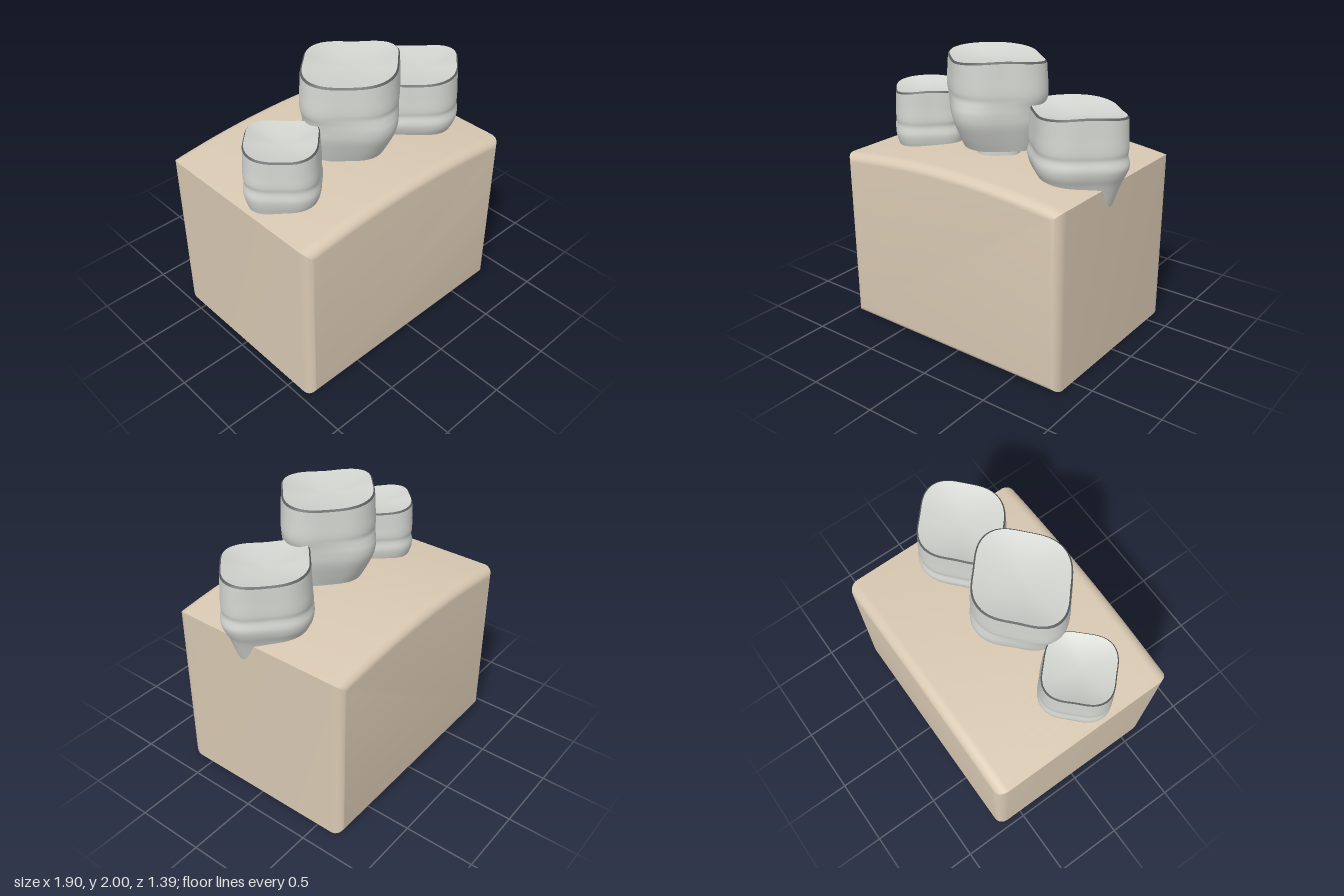
import * as THREE from 'three';
import { toCreasedNormals } from 'three/addons/utils/BufferGeometryUtils.js';

const blockMat = new THREE.MeshStandardMaterial({ name: 'beige plaster', color: 0xd8c8b2 });
const toothMat = new THREE.MeshStandardMaterial({ name: 'pale grey ceramic', color: 0xd2d4cf, side: THREE.DoubleSide });
const rimMat = new THREE.MeshStandardMaterial({ name: 'dark grey rim', color: 0x5c5f5e });

const SIDES = 72;

// Skins rows of rounded-diamond rings; row = { ax, az, height(angle) }
function loft(rows, cx, cz) {
  const pos = [], index = [];
  rows.forEach((row, i) => {
    for (let j = 0; j < SIDES; j++) {
      const a = (j / SIDES) * Math.PI * 2;
      const r = 1 - 0.13 * Math.sin(2 * a) ** 2;
      pos.push(cx + row.ax * r * Math.cos(a), row.height(a), cz + row.az * r * Math.sin(a));
      if (i === rows.length - 1) continue;
      const k = (j + 1) % SIDES, p = i * SIDES, q = p + SIDES;
      index.push(p + j, q + j, p + k, q + j, q + k, p + k);
    }
  });
  const geo = new THREE.BufferGeometry();
  geo.setAttribute('position', new THREE.Float32BufferAttribute(pos, 3));
  geo.setIndex(index);
  geo.computeVertexNormals();
  return geo;
}

function addMesh(parent, name, geo, mat) {
  const mesh = new THREE.Mesh(geo, mat);
  mesh.name = name;
  parent.add(mesh);
}

// profile: [y, half width x, half depth z] from the root up to the rim
function makeTooth(name, cx, cz, profile) {
  const group = new THREE.Group();
  group.name = name;
  const [top, topX, topZ] = profile[profile.length - 1];
  const wave = a => 0.016 * (Math.sin(2 * a) - 1);
  const lip = 0.012;

  // Outer wall, fading into the wavy rim
  const curve = new THREE.CatmullRomCurve3(
    profile.map(([y, ax, az]) => new THREE.Vector3(ax, y, az)), false, 'centripetal');
  const wall = curve.getPoints(48).map(p => {
    const fade = Math.max(0, 1 - (top - p.y) / 0.2);
    return { ax: p.x, az: p.z, height: a => p.y + fade * (wave(a) - lip) };
  });
  addMesh(group, 'toothWall', loft(wall, cx, cz), toothMat);

  // Narrow bevelled lip
  const lipRows = [[1, -lip], [0.965, 0]].map(([s, dy]) => (
    { ax: topX * s, az: topZ * s, height: a => top + wave(a) + dy }));
  addMesh(group, 'toothRim', loft(lipRows, cx, cz), rimMat);

  // Shallow hollow on top
  const bowl = [];
  for (let i = 0; i <= 14; i++) {
    const u = 1 - i / 14, s = 0.965 * Math.max(u, 0.002);
    bowl.push({ ax: topX * s, az: topZ * s,
      height: a => top + wave(a) * u * u - 0.055 * (1 - u * u) });
  }
  addMesh(group, 'toothHollow', loft(bowl, cx, cz), toothMat);
  return group;
}

// Block with an arched top and rounded front and back edges
function makeBlock() {
  const left = -0.955, right = 0.845, mid = (left + right) / 2;
  const shape = new THREE.Shape();
  shape.moveTo(left, 0);
  shape.lineTo(right, 0);
  shape.lineTo(right, 1.257);
  for (let i = 1; i <= 32; i++) {
    const t = 1 - i / 16;
    shape.lineTo(mid + t * (right - mid), 1.257 + 0.066 * (1 - t * t));
  }
  const bevel = 0.08;
  const geo = new THREE.ExtrudeGeometry(shape, {
    depth: 1.39 - 2 * bevel, bevelThickness: bevel, bevelSize: 0.06,
    bevelOffset: -0.06, bevelSegments: 8,
  });
  geo.translate(0, 0, -0.695 + bevel);
  return toCreasedNormals(geo, 0.5);
}

export function createModel() {
  const model = new THREE.Group();
  model.name = 'toothCast';
  addMesh(model, 'block', makeBlock(), blockMat);

  // Tall middle tooth
  const middle = makeTooth('middleTooth', -0.057, 0.12, [
    [1.38, 0.29, 0.25], [1.47, 0.32, 0.3], [1.58, 0.352, 0.35], [1.65, 0.36, 0.358],
    [1.7, 0.37, 0.348], [1.74, 0.383, 0.339], [1.78, 0.387, 0.343],
    [1.9, 0.379, 0.338], [2, 0.372, 0.333],
  ]);
  // Neck and flat underside
  const neck = [[1.25, 0.175, 0.16], [1.38, 0.175, 0.16], [1.38, 0.29, 0.25]]
    .map(([y, ax, az]) => ({ ax, az, height: () => y }));
  addMesh(middle, 'neck', toCreasedNormals(loft(neck, -0.057, 0.12), 0.6), toothMat);
  model.add(middle);

  // Side teeth, with tapering roots sunk into the block
  model.add(makeTooth('leftTooth', 0.585, 0.105, [
    [1, 0.22, 0.18], [1.12, 0.262, 0.22], [1.28, 0.318, 0.285], [1.35, 0.352, 0.32],
    [1.4, 0.365, 0.328], [1.46, 0.35, 0.315], [1.5, 0.355, 0.32],
    [1.62, 0.35, 0.315], [1.738, 0.345, 0.31],
  ]));
  model.add(makeTooth('rightTooth', -0.655, 0.135, [
    [1.05, 0.2, 0.18], [1.27, 0.262, 0.25], [1.33, 0.279, 0.272], [1.38, 0.285, 0.28],
    [1.44, 0.273, 0.27], [1.48, 0.28, 0.275], [1.58, 0.274, 0.272], [1.698, 0.268, 0.268],
  ]));
  return model;
}
